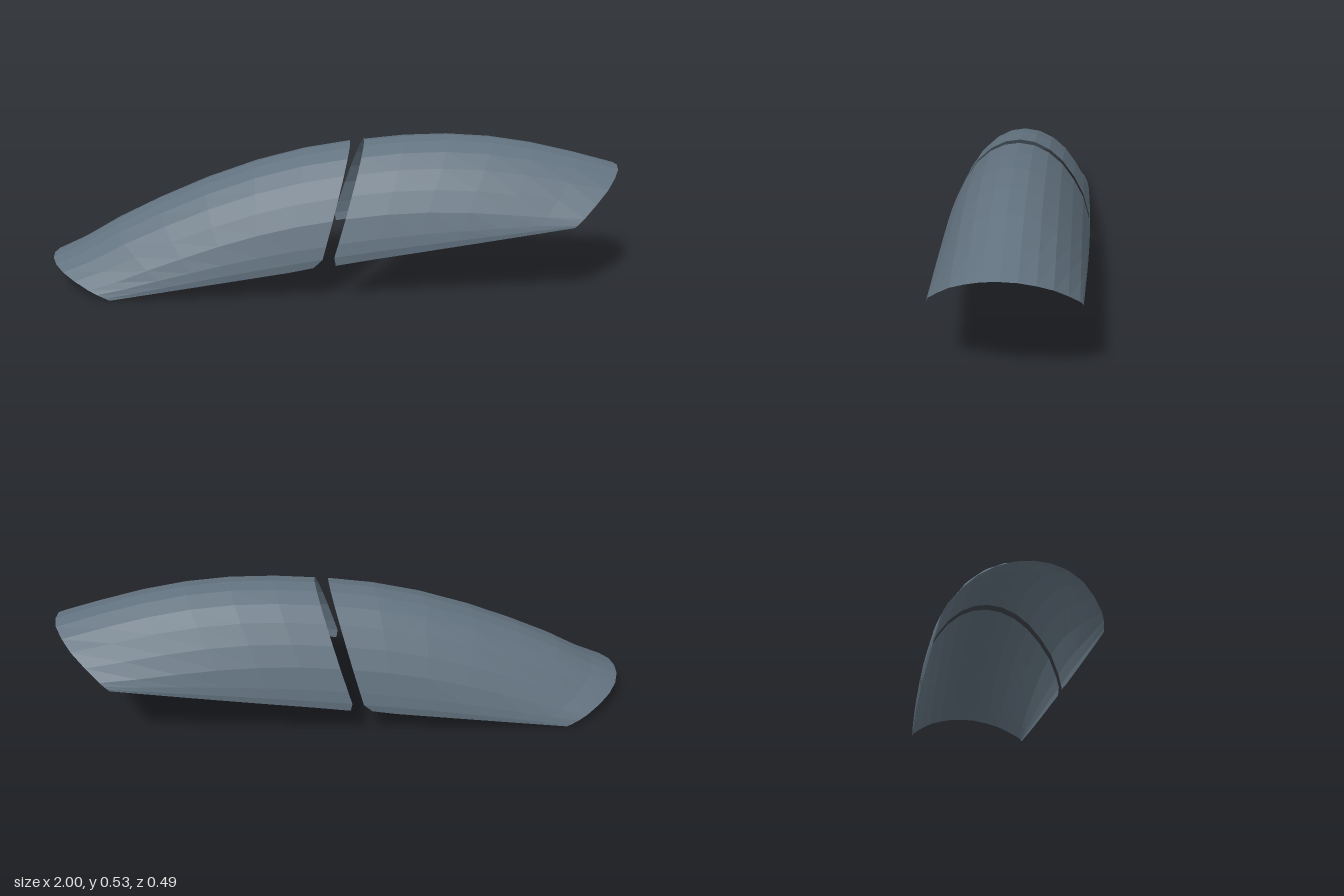
import * as THREE from 'three';

// Half cross-sections from crown to rim: z offset, and height between rim (0) and crown (1)
const MIDDLE = {
  z: [0, 0.05, 0.1, 0.147, 0.187, 0.22, 0.24, 0.246, 0.243],
  v: [1, 0.978, 0.905, 0.78, 0.61, 0.42, 0.2, 0.08, 0],
};
const LOW_TIP = {
  z: [0, 0.05, 0.1, 0.147, 0.187, 0.22, 0.232, 0.238, 0.24],
  v: [1, 0.976, 0.894, 0.75, 0.55, 0.32, 0.19, 0.07, 0],
};
const HIGH_TIP = {
  z: [0, 0.05, 0.1, 0.147, 0.187, 0.22, 0.226, 0.229, 0.23],
  v: [1, 0.97, 0.85, 0.68, 0.43, 0.18, 0.1, 0.05, 0],
};

const { lerp } = THREE.MathUtils;

// Thin arched shell. crown: top line points; rim: bottom line ends [x, y];
// tip: section at the outer end; kink: x shift of the rim corner at the gap
function shellGeometry({ crown, rim, tip, tipFirst, kink }) {
  const positions = [];
  const indices = [];
  const last = MIDDLE.z.length - 1;
  const columns = 2 * last + 1;

  crown.forEach(([topX, topY], i) => {
    const t = i / (crown.length - 1);
    const gapNearness = tipFirst ? t : 1 - t;
    const blend = (1 - gapNearness) ** 2;
    const rimX = lerp(rim[0][0], rim[1][0], t);
    const rimY = lerp(rim[0][1], rim[1][1], t);

    for (let j = -last; j <= last; j++) {
      const k = Math.abs(j);
      const z = lerp(MIDDLE.z[k], tip.z[k], blend);
      const v = lerp(MIDDLE.v[k], tip.v[k], blend);
      const corner = k === last && gapNearness === 1 ? kink : 0;
      positions.push(lerp(rimX, topX, v) + corner, lerp(rimY, topY, v), -Math.sign(j) * z);
    }
  });

  for (let i = 0; i < crown.length - 1; i++) {
    for (let j = 0; j < columns - 1; j++) {
      const a = i * columns + j;
      const b = a + columns;
      indices.push(a, b, a + 1, b, b + 1, a + 1);
    }
  }

  const geometry = new THREE.BufferGeometry();
  geometry.setAttribute('position', new THREE.Float32BufferAttribute(positions, 3));
  geometry.setIndex(indices);
  geometry.computeVertexNormals();
  return geometry;
}

export function createModel() {
  const group = new THREE.Group();
  group.name = 'splitFairing';

  const slate = new THREE.MeshStandardMaterial({
    color: 0x62727f,
    side: THREE.DoubleSide,
    flatShading: true,
  });
  slate.name = 'slate grey';

  // Lower shell, sloping down to its tip
  const lowerShell = new THREE.Mesh(shellGeometry({
    crown: [[-1, 0.09], [-0.9, 0.138], [-0.77, 0.215], [-0.62, 0.29],
      [-0.45, 0.365], [-0.27, 0.43], [-0.1, 0.475], [0.06, 0.502]],
    rim: [[-0.765, 0], [-0.043, 0.122]],
    tip: LOW_TIP,
    tipFirst: true,
    kink: -0.022,
  }), slate);
  lowerShell.name = 'lowerShell';

  // Upper shell, separated by a slanted gap
  const upperShell = new THREE.Mesh(shellGeometry({
    crown: [[0.108, 0.507], [0.25, 0.522], [0.4, 0.527], [0.55, 0.518],
      [0.7, 0.495], [0.85, 0.46], [0.995, 0.42]],
    rim: [[-0.004, 0.13], [0.815, 0.262]],
    tip: HIGH_TIP,
    tipFirst: false,
    kink: 0.014,
  }), slate);
  upperShell.name = 'upperShell';

  group.add(lowerShell, upperShell);
  return group;
}
